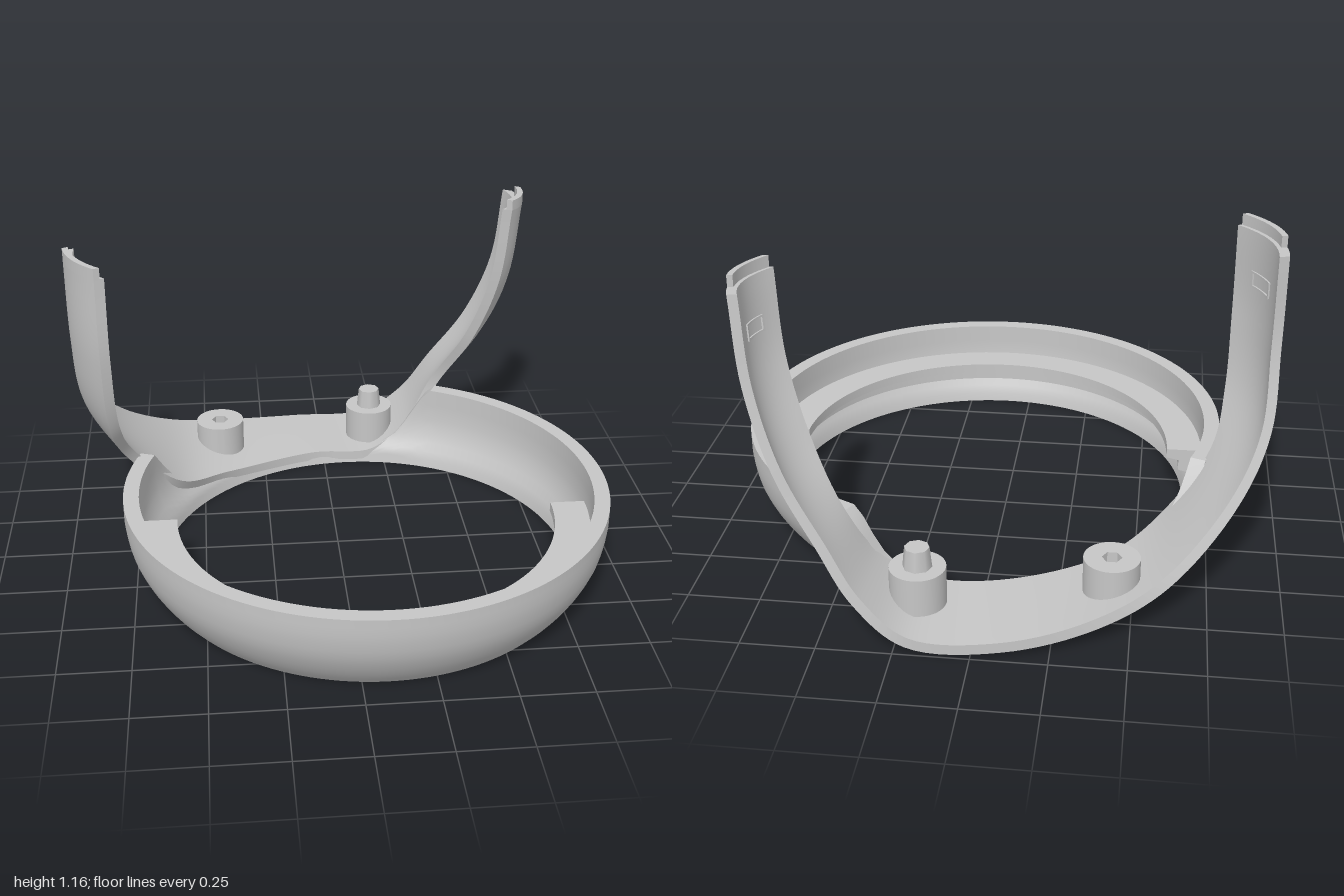
import * as THREE from 'three';
import { toCreasedNormals } from 'three/addons/utils/BufferGeometryUtils.js';

const V = (x, y, z) => new THREE.Vector3(x, y, z);
const CX = 0.092, CZ = 0.122;

// Joins equal cross-section loops (anticlockwise about the path) into a skin
function loft(sections, closed = false) {
  const L = sections[0].length, n = sections.length, idx = [];
  const quad = (a, b, c, d) => idx.push(a, b, c, a, c, d);
  for (let i = 0; i < (closed ? n : n - 1); i++) {
    const a = i * L, b = ((i + 1) % n) * L;
    for (let j = 0; j < L; j++) {
      const k = (j + 1) % L;
      quad(a + j, a + k, b + k, b + j);
    }
  }
  if (!closed) {
    const e = (n - 1) * L;
    for (let j = 0; j < L / 2 - 1; j++) {
      quad(L - 1 - j, L - 2 - j, j + 1, j);
      quad(e + j, e + j + 1, e + L - 2 - j, e + L - 1 - j);
    }
  }
  const g = new THREE.BufferGeometry();
  g.setAttribute('position', new THREE.Float32BufferAttribute(sections.flat().flatMap(p => [p.x, p.y, p.z]), 3));
  g.setIndex(idx);
  return toCreasedNormals(g, 0.6);
}

// Linear lookup in a short table of [key, value] pairs
function lookup(table, k) {
  if (k <= table[0][0]) return table[0][1];
  for (let i = 1; i < table.length; i++) {
    const [k0, v0] = table[i - 1], [k1, v1] = table[i];
    if (k <= k1) return v0 + (v1 - v0) * (k - k0) / (k1 - k0);
  }
  return table[table.length - 1][1];
}

// Ring wall profiles (height, radius) and its cut-away at the back (degrees, height)
const OUTER = [[0, 0.762], [0.04, 0.797], [0.08, 0.824], [0.12, 0.845], [0.16, 0.861], [0.2, 0.871], [0.25, 0.878], [0.32, 0.878]];
const INNER = [[0, 0.752], [0.05, 0.762], [0.1, 0.792], [0.16, 0.812], [0.22, 0.82], [0.32, 0.822]];
const CUT = [[-160, 0.32], [-149, 0.14], [-130, 0.055], [-101, 0.035], [-82, 0.05], [-74, 0.13], [-66, 0.32]];

const polar = (r, y, a) => V(CX + r * Math.cos(a), y, CZ + r * Math.sin(a));

function ringGeometry() {
  const sections = [], N = 144, M = 10;
  for (let i = 0; i < N; i++) {
    const a = -Math.PI + i * 2 * Math.PI / N;
    const h = lookup(CUT, a * 180 / Math.PI), loop = [];
    for (let j = 0; j <= M; j++) loop.push(polar(lookup(OUTER, h * j / M), h * j / M, a));
    for (let j = M; j >= 0; j--) loop.push(polar(lookup(INNER, h * j / M), h * j / M, a));
    sections.push(loop);
  }
  return loft(sections, true);
}

// Half ledge with a stepped underside
function ledgeGeometry() {
  const profile = [[0.8, 0.1], [0.82, 0.14], [0.83, 0.17], [0.835, 0.2], [0.69, 0.2], [0.69, 0.165], [0.735, 0.16], [0.735, 0.115]];
  const sections = [];
  for (let i = 0; i <= 72; i++) sections.push(profile.map(([r, y]) => polar(r, y, Math.PI * i / 72)));
  return loft(sections);
}

// Front and back edges of the U-shaped band, from the right arm's tip to the left arm's tip
const FRONT = [V(-0.835, 1.12, 0.075), V(-0.835, 0.8, 0.075), V(-0.825, 0.52, 0.01), V(-0.78, 0.33, -0.13),
  V(-0.605, 0.115, -0.265), V(-0.4, 0.04, -0.46), V(-0.05, 0.02, -0.622), V(0.21, 0.025, -0.632), V(0.37, 0.14, -0.67),
  V(0.48, 0.32, -0.7), V(0.605, 0.55, -0.62), V(0.69, 0.82, -0.56), V(0.72, 1.12, -0.53)];
const BACK = [V(-0.96, 1.12, -0.235), V(-0.957, 0.8, -0.245), V(-0.94, 0.52, -0.335), V(-0.84, 0.33, -0.5),
  V(-0.62, 0.145, -0.74), V(-0.4, 0.065, -0.88), V(-0.1, 0.02, -0.98), V(0.21, 0.025, -0.995), V(0.38, 0.15, -0.965),
  V(0.5, 0.33, -0.925), V(0.64, 0.55, -0.865), V(0.735, 0.82, -0.805), V(0.768, 1.12, -0.775)];
const frontCurve = new THREE.CatmullRomCurve3(FRONT), backCurve = new THREE.CatmullRomCurve3(BACK);
const THICK = 0.037;

// Local frame of the band: front edge, width vector and inward normal
function bandFrame(u) {
  const f = frontCurve.getPoint(u), b = backCurve.getPoint(u);
  const t = frontCurve.getTangent(u).add(backCurve.getTangent(u)).normalize();
  const w = b.sub(f);
  return { f, w, n: t.cross(w).normalize() };
}

// Point across the band: s runs front to back, o is the depth inward
function bandPoint({ f, w, n }, s, o) {
  const bulge = 0.04 * THREE.MathUtils.smoothstep(f.y, 0.15, 0.75) * 4 * s * (1 - s);
  return f.clone().addScaledVector(w, s).addScaledVector(n, o - bulge);
}

function bandLoop(frame, s0, s1, o0, o1) {
  const loop = [], M = 10;
  for (let j = 0; j <= M; j++) loop.push(bandPoint(frame, s0 + (s1 - s0) * j / M, o0));
  for (let j = M; j >= 0; j--) loop.push(bandPoint(frame, s0 + (s1 - s0) * j / M, o1));
  return loop;
}

// Any patch of the band, following its curvature
function bandPatch(u0, u1, s0, s1, o0, o1, n) {
  const sections = [];
  for (let i = 0; i <= n; i++) sections.push(bandLoop(bandFrame(u0 + (u1 - u0) * i / n), s0, s1, o0, o1));
  return loft(sections);
}

// Thin tongue that continues the outer skin above an arm's tip
function tongueGeometry(u) {
  const lift = u === 0 ? [0.04, 0] : [0, 0.04];
  const frame = bandFrame(u);
  return loft(lift.map(d => bandLoop(frame, 0, 0.75, 0, 0.022).map(p => p.add(V(0, d, 0)))));
}

// Round post with a six-sided hole
function socketGeometry(height) {
  const shape = new THREE.Shape().absarc(0, 0, 0.095, 0, Math.PI * 2);
  const hole = new THREE.Path();
  for (let i = 0; i < 6; i++) {
    const a = i * Math.PI / 3, x = 0.034 * Math.cos(a), y = 0.034 * Math.sin(a);
    if (i) hole.lineTo(x, y); else hole.moveTo(x, y);
  }
  hole.closePath();
  shape.holes.push(hole);
  const g = new THREE.ExtrudeGeometry(shape, { depth: height, bevelEnabled: false, curveSegments: 32 });
  return toCreasedNormals(g.rotateX(-Math.PI / 2), 0.6);
}

export function createModel() {
  const model = new THREE.Group();
  model.name = 'ringWithArms';
  const grey = new THREE.MeshStandardMaterial({ color: 0xc6c6c6 });
  grey.name = 'lightGrey';
  const add = (name, geometry, x = 0, y = 0, z = 0) => {
    const mesh = new THREE.Mesh(geometry, grey);
    mesh.name = name;
    mesh.position.set(x, y, z);
    model.add(mesh);
  };

  // Ring and its inner half ledge
  add('ring', ringGeometry());
  add('ledge', ledgeGeometry());

  // Band forming the rear floor and both arms
  add('armBand', bandPatch(0, 1, 0, 1, 0, THICK, 96));

  // Tongues at the arm tips, and the raised rims of the latch slots inside them
  [['right', 0, 0.53 / 12], ['left', 1, 11.47 / 12]].forEach(([side, tip, u]) => {
    add(side + 'Tongue', tongueGeometry(tip));
    const du = 0.0075, e = 0.0018;
    [[u - du, u - du + e, 0.24, 0.62], [u + du - e, u + du, 0.24, 0.62],
      [u - du, u + du, 0.24, 0.27], [u - du, u + du, 0.59, 0.62]].forEach(([u0, u1, s0, s1]) =>
      add(side + 'SlotRim', bandPatch(u0, u1, s0, s1, THICK - 0.002, THICK + 0.006, 2)));
  });

  // Posts on the rear floor
  add('socketPost', socketGeometry(0.125), -0.43, 0.08, -0.67);
  add('pegPost', new THREE.CylinderGeometry(0.095, 0.095, 0.135, 32), 0.2, 0.1275, -0.78);
  add('peg', new THREE.CylinderGeometry(0.042, 0.05, 0.075, 8), 0.2, 0.23, -0.78);
  return model;
}
